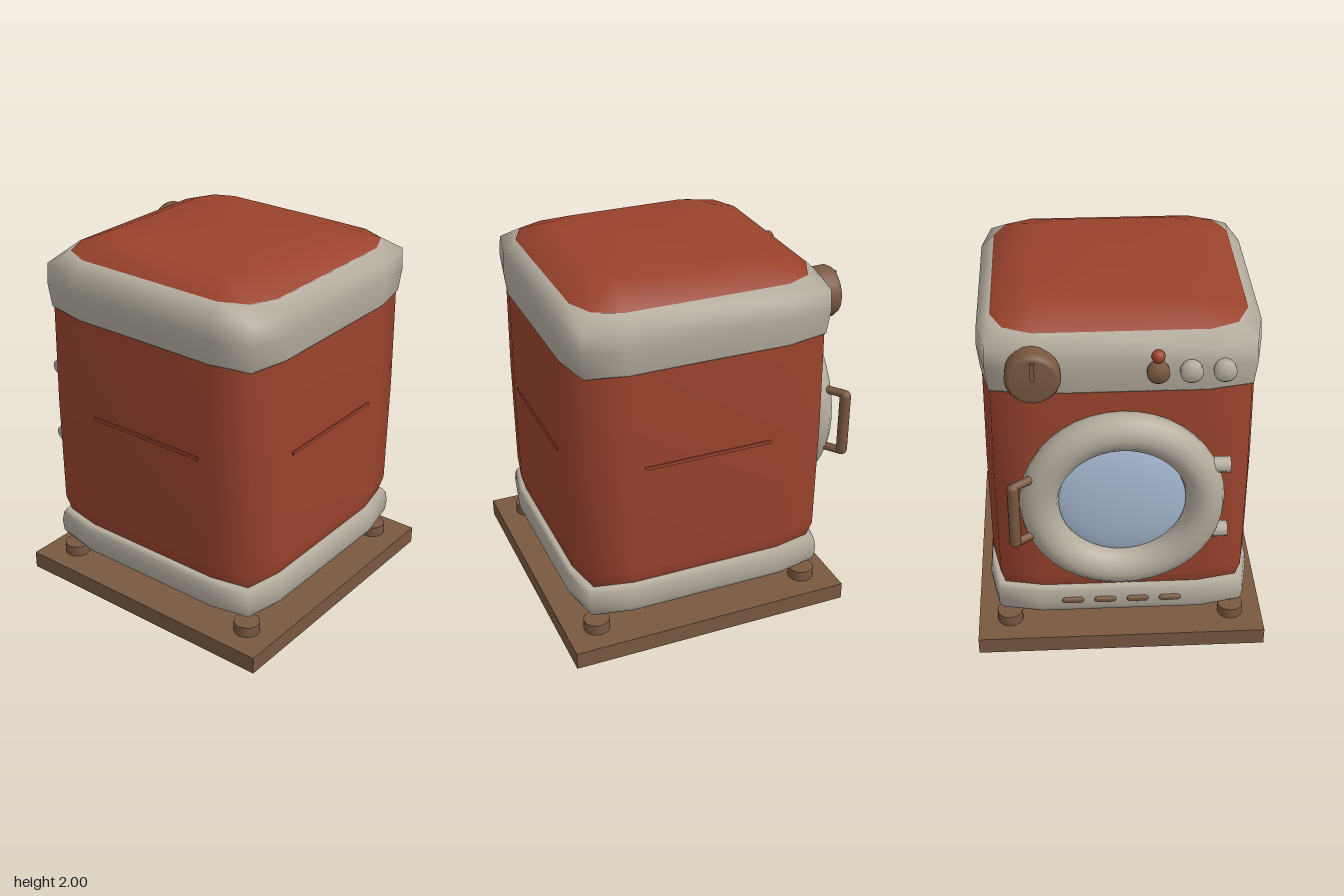
import * as THREE from 'three';

const paint = (name, color) => {
  const m = new THREE.MeshStandardMaterial({ color });
  m.name = name;
  return m;
};

// Stacked rounded-square sections: [y, half width, corner ratio, flat ratio]
function loft(levels, cap) {
  const pos = [], idx = [], n = 12;
  for (const [y, h, c = 0.935, k = 0.62] of levels) {
    let corner = [[h, k * h], [c * h, c * h], [k * h, h]];
    for (let q = 0; q < 4; q++) {
      corner.forEach(([x, z]) => pos.push(x, y, z));
      corner = corner.map(([x, z]) => [-z, x]);
    }
  }
  for (let l = 0; l < levels.length - 1; l++) {
    for (let i = 0; i < n; i++) {
      const a = l * n + i, b = l * n + (i + 1) % n;
      idx.push(a, a + n, b + n, a, b + n, b);
    }
  }
  if (cap) {
    const top = (levels.length - 1) * n, bottomMid = levels.length * n, topMid = bottomMid + 1;
    pos.push(0, levels[0][0], 0, 0, levels[levels.length - 1][0], 0);
    for (let i = 0; i < n; i++) {
      const j = (i + 1) % n;
      idx.push(bottomMid, i, j, topMid, top + j, top + i);
    }
  }
  const g = new THREE.BufferGeometry();
  g.setAttribute('position', new THREE.Float32BufferAttribute(pos, 3));
  g.setIndex(idx);
  g.computeVertexNormals();
  return g;
}

export function createModel() {
  const model = new THREE.Group();
  model.name = 'washingMachine';
  const red = paint('rust red', 0x9a432d);
  const cream = paint('warm cream', 0xb5ad9f);
  const brown = paint('wood brown', 0x795840);
  const blue = paint('glass blue', 0xa9bbd4);
  const CZ = 0.053;

  const add = (name, geometry, material, x = 0, y = 0, z = 0) => {
    const m = new THREE.Mesh(geometry, material);
    m.name = name;
    m.position.set(x, y, z);
    model.add(m);
    return m;
  };
  const box = (w, h, d) => new THREE.BoxGeometry(w, h, d);
  // Round knob turned to face -z, profile given as [radius, depth]
  const knob = (name, profile, material, x, y, z) => {
    const g = new THREE.LatheGeometry(profile.map(p => new THREE.Vector2(...p)), 20);
    g.rotateX(-Math.PI / 2);
    return add(name, g, material, x, y, z);
  };

  // Base board and feet
  add('baseBoard', box(1.565, 0.095, 1.565), brown, 0, 0.0475, CZ);
  for (const sx of [-1, 1]) {
    for (const sz of [-1, 1]) {
      add('foot', new THREE.CylinderGeometry(0.07, 0.07, 0.1, 16), brown, sx * 0.61, 0.105, CZ + sz * 0.61);
    }
  }

  // Cabinet and its two padded bands
  add('cabinet', loft([
    [0.15, 0.45], [0.19, 0.62], [0.375, 0.668], [0.46, 0.69], [1.07, 0.695], [1.65, 0.69],
    [1.85, 0.67], [1.925, 0.635, 0.9, 0.68], [2.0, 0.46, 0.9, 0.68],
  ], true), red, 0, 0, CZ);
  add('topBand', loft([
    [1.625, 0.66], [1.61, 0.69], [1.62, 0.698], [1.75, 0.712], [1.86, 0.706],
    [1.922, 0.642, 0.9, 0.68], [1.905, 0.58, 0.9, 0.68],
  ]), cream, 0, 0, CZ);
  add('bottomBand', loft([
    [0.2, 0.58], [0.19, 0.64], [0.21, 0.69], [0.24, 0.706], [0.3, 0.711],
    [0.355, 0.704], [0.377, 0.69], [0.37, 0.64],
  ]), cream, 0, 0, CZ);

  // Thin seams on the three plain sides
  add('rearSeam', box(0.7, 0.018, 0.012), red, -0.01, 1.075, CZ + 0.695);
  for (const s of [-1, 1]) add('sideSeam', box(0.012, 0.018, 0.7), red, s * 0.695, 1.075, 0.06);

  // Round door: ring, glass, hinges
  const ring = add('doorRing', new THREE.TorusGeometry(0.425, 0.1, 12, 40), cream, 0, 0.99, -0.69);
  ring.scale.z = 0.95;
  const glass = add('doorGlass', new THREE.SphereGeometry(0.36, 32, 16), blue, 0, 0.99, -0.65);
  glass.scale.z = 0.17;
  for (const s of [-1, 1]) {
    const hinge = add('hinge', new THREE.CylinderGeometry(0.042, 0.042, 0.09, 12), cream, -0.5, 0.99 + s * 0.205, -0.69);
    hinge.rotation.z = Math.PI / 2;
  }

  // Door handle, angled outwards
  add('handleBar', new THREE.CapsuleGeometry(0.03, 0.33, 6, 12), brown, 0.55, 0.995, -0.803);
  for (const y of [0.82, 1.17]) {
    const path = new THREE.LineCurve3(new THREE.Vector3(0.44, y, -0.72), new THREE.Vector3(0.55, y, -0.803));
    add('handleArm', new THREE.TubeGeometry(path, 1, 0.022, 10), brown);
  }

  // Dial with pointer
  knob('dial', [[0.135, -0.02], [0.137, 0.06], [0.125, 0.082], [0.11, 0.09], [0, 0.092]], brown, 0.432, 1.745, -0.652);
  add('dialPointer', box(0.022, 0.09, 0.025), brown, 0.432, 1.805, -0.746);

  // Control buttons
  const round = [[0.045, -0.02], [0.056, 0.015], [0.056, 0.045], [0.04, 0.064], [0, 0.068]];
  [[-0.495, cream], [-0.333, cream], [-0.172, brown]].forEach(([x, m]) => {
    knob('button', round, m, x, 1.745, -0.655);
  });
  add('indicatorLamp', new THREE.SphereGeometry(0.034, 16, 12), red, -0.172, 1.825, -0.67);

  // Vents in the lower band
  for (let i = 0; i < 4; i++) {
    const vent = add('vent', new THREE.CapsuleGeometry(0.02, 0.08, 4, 10), brown, (i - 1.5) * 0.175, 0.295, -0.655);
    vent.rotation.z = Math.PI / 2;
    vent.scale.z = 0.7;
  }
  return model;
}
